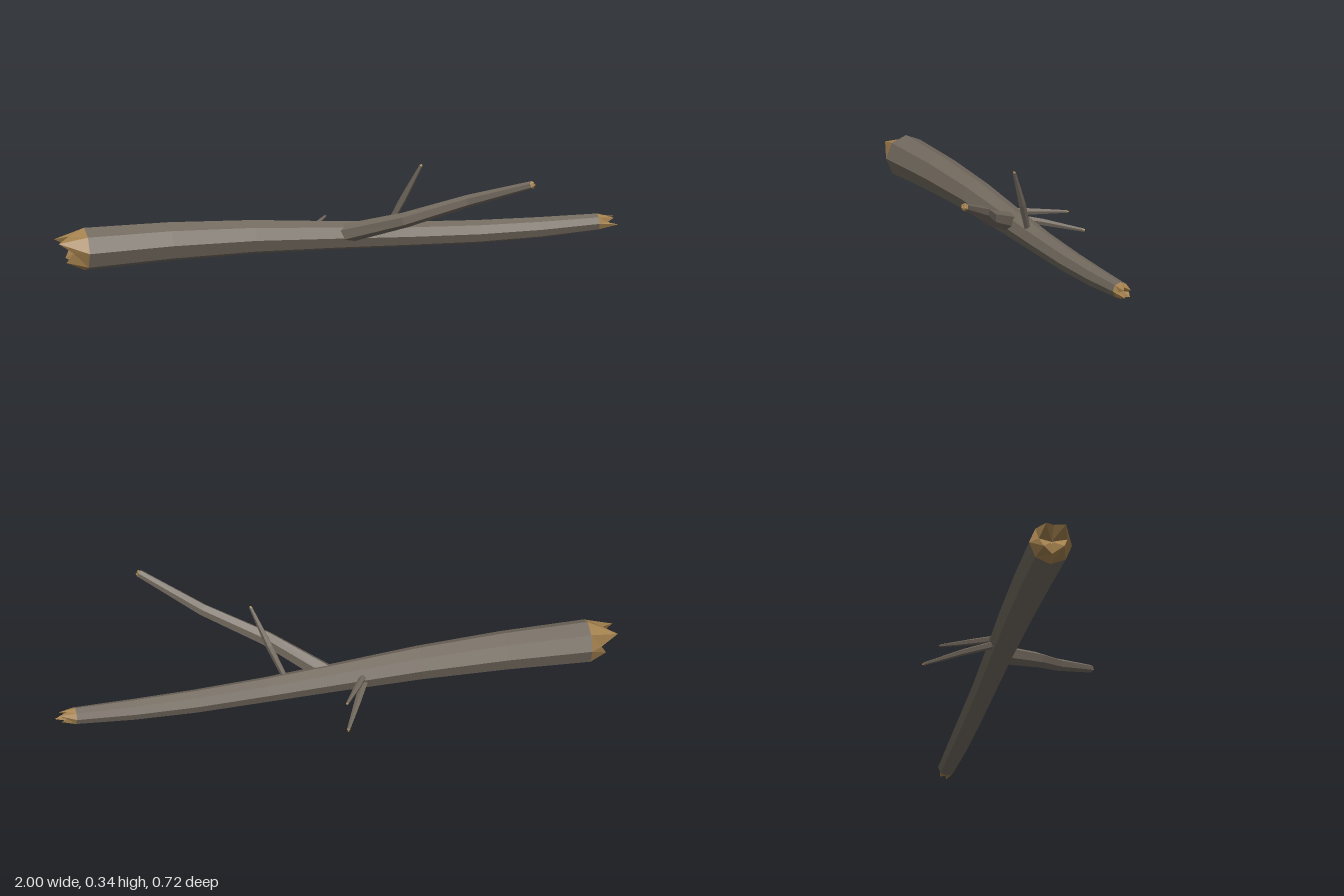
import * as THREE from 'three';

const bark = new THREE.MeshStandardMaterial({ color: 0x736a5f, flatShading: true });
bark.name = 'bark';
const wood = new THREE.MeshStandardMaterial({ color: 0xa5824f, flatShading: true });
wood.name = 'bare wood';

// One ring of points around a centre, facing along a direction.
// lengths (optional) pushes each point along that direction.
function ring(centre, dir, radius, sides, lengths) {
  const side = new THREE.Vector3().crossVectors(dir, new THREE.Vector3(0, 1, 0)).normalize();
  const up = new THREE.Vector3().crossVectors(side, dir);
  return Array.from({ length: sides }, (_, i) => {
    const a = (i / sides) * Math.PI * 2;
    return centre.clone()
      .addScaledVector(up, Math.cos(a) * radius)
      .addScaledVector(side, Math.sin(a) * radius)
      .addScaledVector(dir, lengths ? lengths[i % lengths.length] : 0);
  });
}

// Skin a list of rings
function skin(name, rings, material) {
  const n = rings[0].length;
  const index = [];
  for (let i = 0; i < rings.length - 1; i++) {
    for (let j = 0; j < n; j++) {
      const k = (j + 1) % n;
      const a = i * n + j, b = i * n + k, c = a + n, d = b + n;
      index.push(a, b, d, a, d, c);
    }
  }
  const geometry = new THREE.BufferGeometry().setFromPoints(rings.flat());
  geometry.setIndex(index);
  const flat = geometry.toNonIndexed();
  flat.computeVertexNormals();
  const mesh = new THREE.Mesh(flat, material);
  mesh.name = name;
  return mesh;
}

// Splintered end: outer ring, uneven tips, sunken centre
function brokenEnd(name, centre, dir, radius, sides, lengths, inset, depth) {
  const core = centre.clone().addScaledVector(dir, depth);
  return skin(name, [
    ring(centre, dir, radius, sides),
    ring(centre, dir, radius * inset, sides, lengths),
    ring(core, dir, 0.0005, sides),
  ], wood);
}

// Tapered limb through stations [x, y, z, radius]
function limb(name, stations, sides, endTips, startTips) {
  const group = new THREE.Group();
  group.name = name;
  const pts = stations.map(s => new THREE.Vector3(s[0], s[1], s[2]));
  const last = pts.length - 1;
  const dirs = pts.map((p, i) =>
    pts[Math.min(i + 1, last)].clone().sub(pts[Math.max(i - 1, 0)]).normalize());
  group.add(skin(name + 'Bark', pts.map((p, i) => ring(p, dirs[i], stations[i][3], sides)), bark));
  group.add(brokenEnd(name + 'Tip', pts[last], dirs[last], stations[last][3], sides, endTips, 0.6, 0.008));
  if (startTips) {
    group.add(brokenEnd(name + 'Butt', pts[0], dirs[0].clone().negate(), stations[0][3], sides, startTips, 0.65, 0.02));
  }
  return group;
}

export function createModel() {
  const model = new THREE.Group();
  model.name = 'fallenBranch';

  // Main log, thick at -x, splintered at both ends
  model.add(limb('log', [
    [-0.9, 0.08, -0.095, 0.076],
    [-0.6, 0.088, -0.095, 0.069],
    [-0.3, 0.086, -0.095, 0.06],
    [0, 0.073, -0.095, 0.05],
    [0.25, 0.062, -0.094, 0.044],
    [0.5, 0.055, -0.094, 0.041],
    [0.72, 0.056, -0.093, 0.037],
    [0.93, 0.063, -0.092, 0.03],
  ], 8,
  [0.03, 0.055, 0.03, 0.07, 0.025, 0.05, 0.03, 0.06],
  [0.055, 0.1, 0.04, 0.06, 0.03, 0.075, 0.05, 0.1]));

  // Long side branch rising to the front
  model.add(limb('sideBranch', [
    [0.02, 0.08, -0.08, 0.034],
    [0.2, 0.158, 0.08, 0.027],
    [0.4, 0.241, 0.19, 0.022],
    [0.585, 0.324, 0.345, 0.014],
  ], 6, [0.01, 0.004, 0.013, 0.005]));

  // Thin upright twig
  model.add(limb('uprightTwig', [
    [0.17, 0.08, -0.08, 0.01],
    [0.22, 0.2, -0.035, 0.013],
    [0.272, 0.332, 0.018, 0.006],
  ], 5, [0.003]));

  // Pair of twigs at the back
  model.add(limb('upperBackTwig', [
    [-0.11, 0.083, -0.1, 0.014],
    [-0.05, 0.086, -0.2, 0.011],
    [0.01, 0.09, -0.298, 0.005],
  ], 5, [0.003]));
  model.add(limb('lowerBackTwig', [
    [-0.11, 0.066, -0.1, 0.015],
    [-0.045, 0.046, -0.23, 0.012],
    [0.02, 0.02, -0.354, 0.006],
  ], 5, [0.008, 0.003, 0.006]));

  return model;
}
